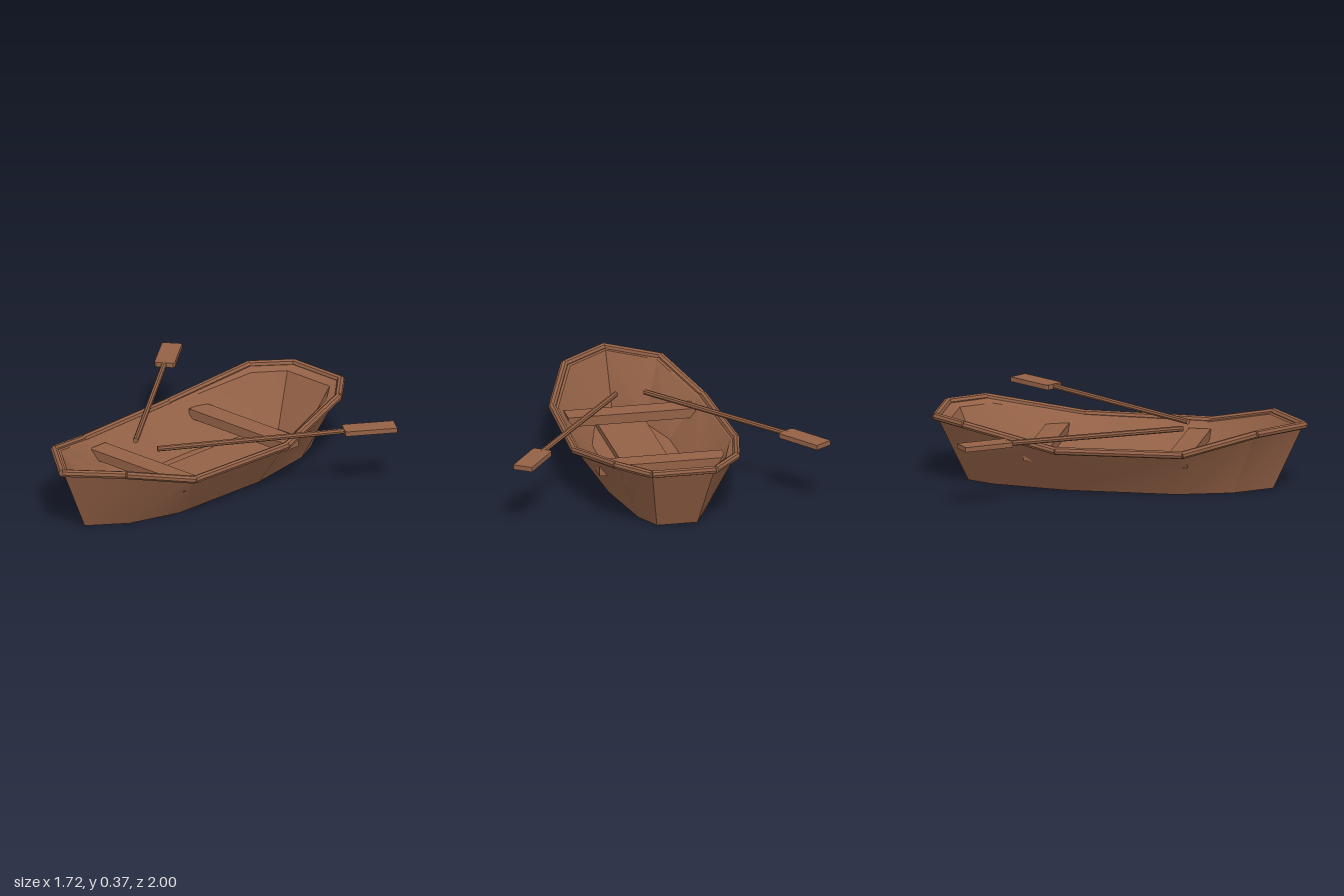
import * as THREE from 'three';
import { toCreasedNormals } from 'three/addons/utils/BufferGeometryUtils.js';

const wood = new THREE.MeshStandardMaterial({ color: 0x936146 });
wood.name = 'brown wood';

// Half outlines run from the bow to the transom corner; mirrored into a closed ring.
const ring = (half) => [
  ...half.map((p) => new THREE.Vector3(...p)),
  ...half.slice(1).reverse().map(([x, y, z]) => new THREE.Vector3(-x, y, z)),
];

const RAIL = ring([[0, 0.352, 0.979], [0.262, 0.352, 0.767], [0.41, 0.257, 0.395],
  [0.437, 0.257, -0.285], [0.327, 0.352, -0.797], [0.172, 0.352, -0.979]]);
const KEEL = ring([[0, 0, 0.81], [0.15, 0, 0.62], [0.24, 0, 0.335],
  [0.25, 0, -0.265], [0.18, 0, -0.67], [0.11, 0, -0.815]]);
const RIM_OUT = ring([[0, 0.355, 0.974], [0.26, 0.355, 0.763], [0.41, 0.262, 0.393],
  [0.435, 0.262, -0.285], [0.324, 0.355, -0.795], [0.17, 0.355, -0.974]]);
const RIM_IN = ring([[0, 0.345, 0.94], [0.235, 0.345, 0.747], [0.38, 0.252, 0.385],
  [0.407, 0.252, -0.28], [0.276, 0.33, -0.757], [0.155, 0.33, -0.91]]);
const FLOOR = ring([[0, 0.05, 0.77], [0.137, 0.05, 0.59], [0.21, 0.05, 0.32],
  [0.222, 0.05, -0.25], [0.158, 0.05, -0.64], [0.097, 0.05, -0.78]]);

// Normals stay smooth across gentle bends and sharp across edges
function add(parent, name, geometry) {
  const mesh = new THREE.Mesh(toCreasedNormals(geometry, 0.42), wood);
  mesh.name = name;
  parent.add(mesh);
  return mesh;
}

// Planked skin: outer wall, rim and inner wall, closed below and at the inner floor
function hullGeometry(rings) {
  const pts = [];
  const n = rings[0].length;
  for (let r = 0; r < rings.length - 1; r++) {
    for (let i = 0; i < n; i++) {
      const j = (i + 1) % n;
      const [a, b, c, d] = [rings[r][i], rings[r][j], rings[r + 1][j], rings[r + 1][i]];
      // Inner panels fold along the same diagonal as the outer ones
      if (r < 2) pts.push(a, b, c, a, c, d);
      else pts.push(a, b, d, b, c, d);
    }
  }
  const cap = (loop, up) => {
    const centre = new THREE.Vector3(0, loop[0].y, 0);
    loop.forEach((a, i) => {
      const b = loop[(i + 1) % n];
      pts.push(centre, up ? a : b, up ? b : a);
    });
  };
  cap(rings[0], false);
  cap(rings[rings.length - 1], true);
  return new THREE.BufferGeometry().setFromPoints(pts);
}

// Round bar from a to b
function bar(parent, name, a, b, radius) {
  const dir = b.clone().sub(a);
  const mesh = add(parent, name, new THREE.CylinderGeometry(radius, radius, dir.length(), 8));
  mesh.position.copy(a).add(b).multiplyScalar(0.5);
  mesh.quaternion.setFromUnitVectors(new THREE.Vector3(0, 1, 0), dir.normalize());
}

function makeOar(side) {
  const oar = new THREE.Group();
  oar.name = side > 0 ? 'leftOar' : 'rightOar';
  bar(oar, 'shaft', new THREE.Vector3(side * 0.08, 0.322, 0.335),
    new THREE.Vector3(side * 0.67, 0.343, -0.505), 0.015);

  // Blade: flat plate with slightly clipped corners at the neck
  const s = new THREE.Shape([[-0.054, 0.28], [-0.054, 0.012], [-0.046, 0], [0.046, 0], [0.054, 0.012], [0.054, 0.28]]
    .map((p) => new THREE.Vector2(...p)));
  const g = new THREE.ExtrudeGeometry(s, { depth: 0.026, bevelEnabled: false });
  g.translate(0, 0, -0.013).rotateX(-Math.PI / 2);
  const blade = add(oar, 'blade', g);
  blade.position.set(side * 0.657, 0.344, -0.491);
  blade.rotation.y = -side * 0.612;
  return oar;
}

export function createModel() {
  const boat = new THREE.Group();
  boat.name = 'rowingBoat';

  add(boat, 'hull', hullGeometry([KEEL, RIM_OUT, RIM_IN, FLOOR]));

  // Gunwale rail, one straight bar per edge
  const rail = new THREE.Group();
  rail.name = 'gunwale';
  RAIL.forEach((a, i) => bar(rail, 'railSegment', a, RAIL[(i + 1) % RAIL.length], 0.021));
  boat.add(rail);

  // Floor plank
  add(boat, 'floorPlank', new THREE.BoxGeometry(0.26, 0.04, 1.255)).position.set(0, 0.06, -0.04);

  // Bench seats
  for (const [name, z] of [['frontSeat', 0.35], ['rearSeat', -0.413]]) {
    add(boat, name, new THREE.BoxGeometry(0.69, 0.052, 0.119)).position.set(0, 0.198, z);
  }

  for (const side of [1, -1]) boat.add(makeOar(side));
  return boat;
}
